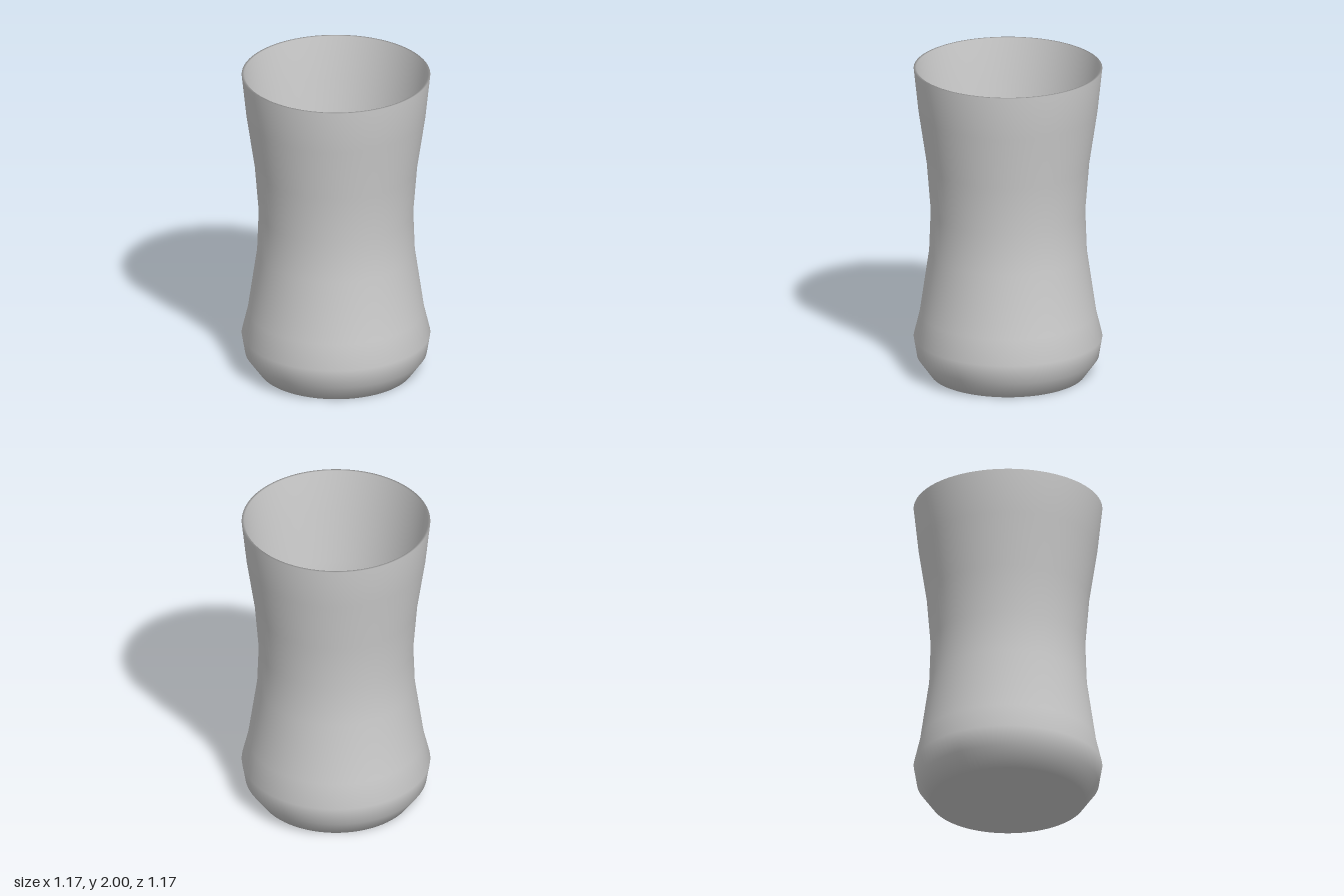
import * as THREE from 'three';

export function createModel() {
  const model = new THREE.Group();
  model.name = 'drinkingGlass';
  const material = new THREE.MeshStandardMaterial({ color: 0xcccccc });

  // Outer wall as [radius, height], from the foot to the rim
  const outer = [
    [0.482, 0], [0.565, 0.115], [0.586, 0.24], [0.548, 0.4], [0.49, 0.8],
    [0.48, 1.07], [0.505, 1.38], [0.556, 1.72], [0.586, 2],
  ];
  const wall = 0.015;
  const floor = 0.02;

  // Inner wall runs back down, offset by the wall thickness
  const inner = outer.map(([r, y]) => [r - wall, Math.max(y, floor)]).reverse();

  // One closed profile: underside, outside, rim, inside, floor
  const profile = [[0, 0], ...outer, ...inner, [0, floor]]
    .map(([r, y]) => new THREE.Vector2(r, y));

  const body = new THREE.Mesh(new THREE.LatheGeometry(profile, 96), material);
  body.name = 'glassBody';
  model.add(body);

  return model;
}
